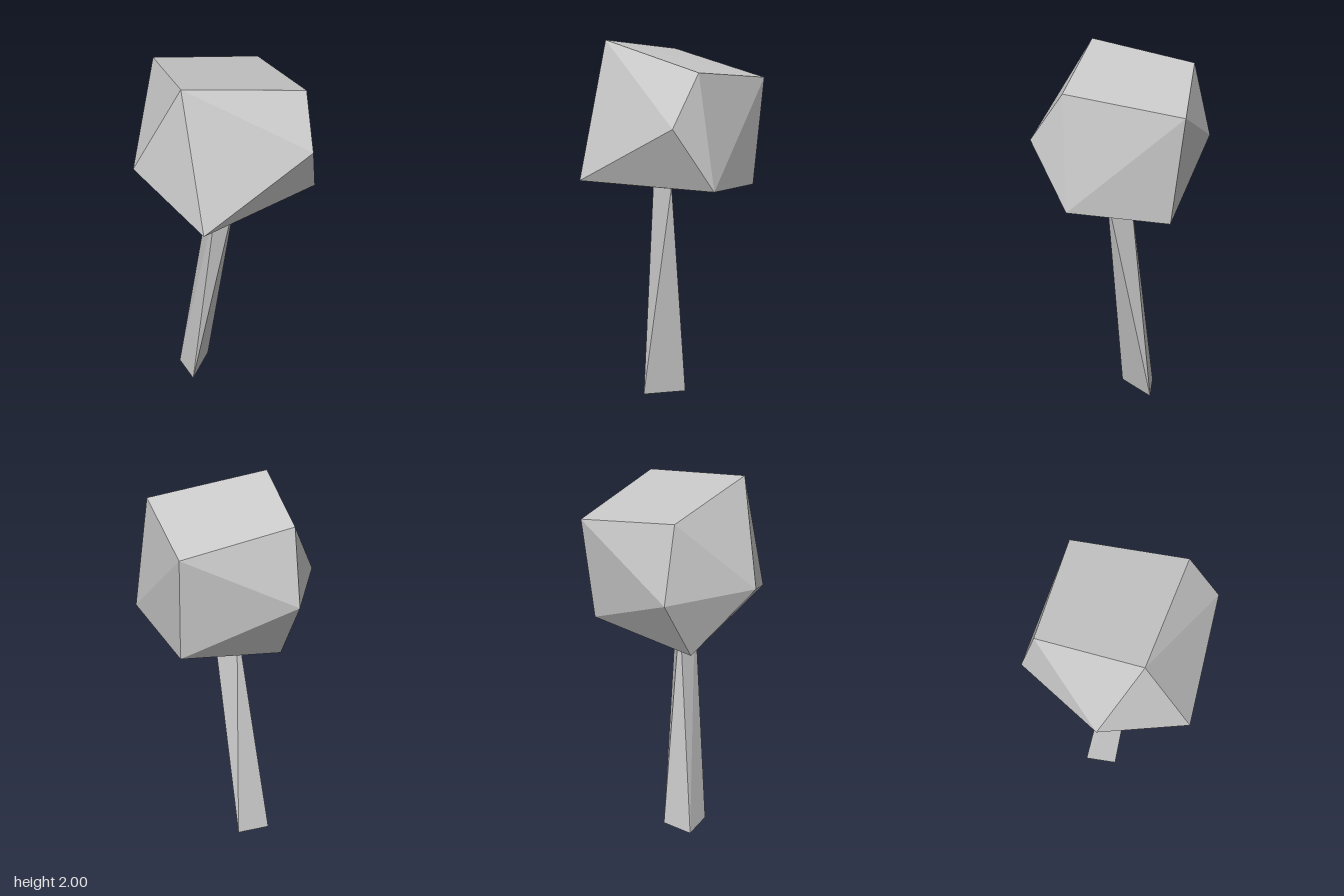
import * as THREE from 'three';
import { ConvexGeometry } from 'three/addons/geometries/ConvexGeometry.js';

const material = new THREE.MeshStandardMaterial({ color: 0xcccccc, flatShading: true });
const v = (p) => new THREE.Vector3(...p);

// Faceted boulder-like crown: the convex hull of its corners
function createCrown() {
  const corners = [
    // upper four-sided facet
    [-0.26, 2.0, 0.19], [0.36, 1.9, 0.265], [0.375, 1.8, -0.325], [-0.2, 1.9, -0.345],
    // middle corners
    [-0.2, 1.51, -0.435], [-0.45, 1.5, 0.005], [-0.25, 1.315, 0.433],
    [0.325, 1.65, 0.433], [0.445, 1.32, 0.248],
    // underside
    [-0.2, 1.145, -0.2], [0.36, 1.24, -0.26],
  ];
  const crown = new THREE.Mesh(new ConvexGeometry(corners.map(v)), material);
  crown.name = 'crown';
  return crown;
}

// Leaning three-sided trunk, tapering up into the crown
function createTrunk() {
  const foot = [[0.01, 0, -0.147], [-0.155, 0, 0.025], [-0.168, 0, -0.15]];
  const head = [[0.077, 1.26, 0.085], [-0.036, 1.26, 0.09], [-0.02, 1.26, -0.03]];
  const points = [];
  for (let i = 0; i < 3; i++) {
    const j = (i + 1) % 3;
    points.push(foot[j], foot[i], head[i], foot[j], head[i], head[j]);
  }
  points.push(...foot, head[2], head[1], head[0]); // end caps
  const geometry = new THREE.BufferGeometry().setFromPoints(points.map(v));
  geometry.computeVertexNormals();
  const trunk = new THREE.Mesh(geometry, material);
  trunk.name = 'trunk';
  return trunk;
}

export function createModel() {
  const tree = new THREE.Group();
  tree.name = 'tree';
  tree.add(createTrunk(), createCrown());
  return tree;
}
